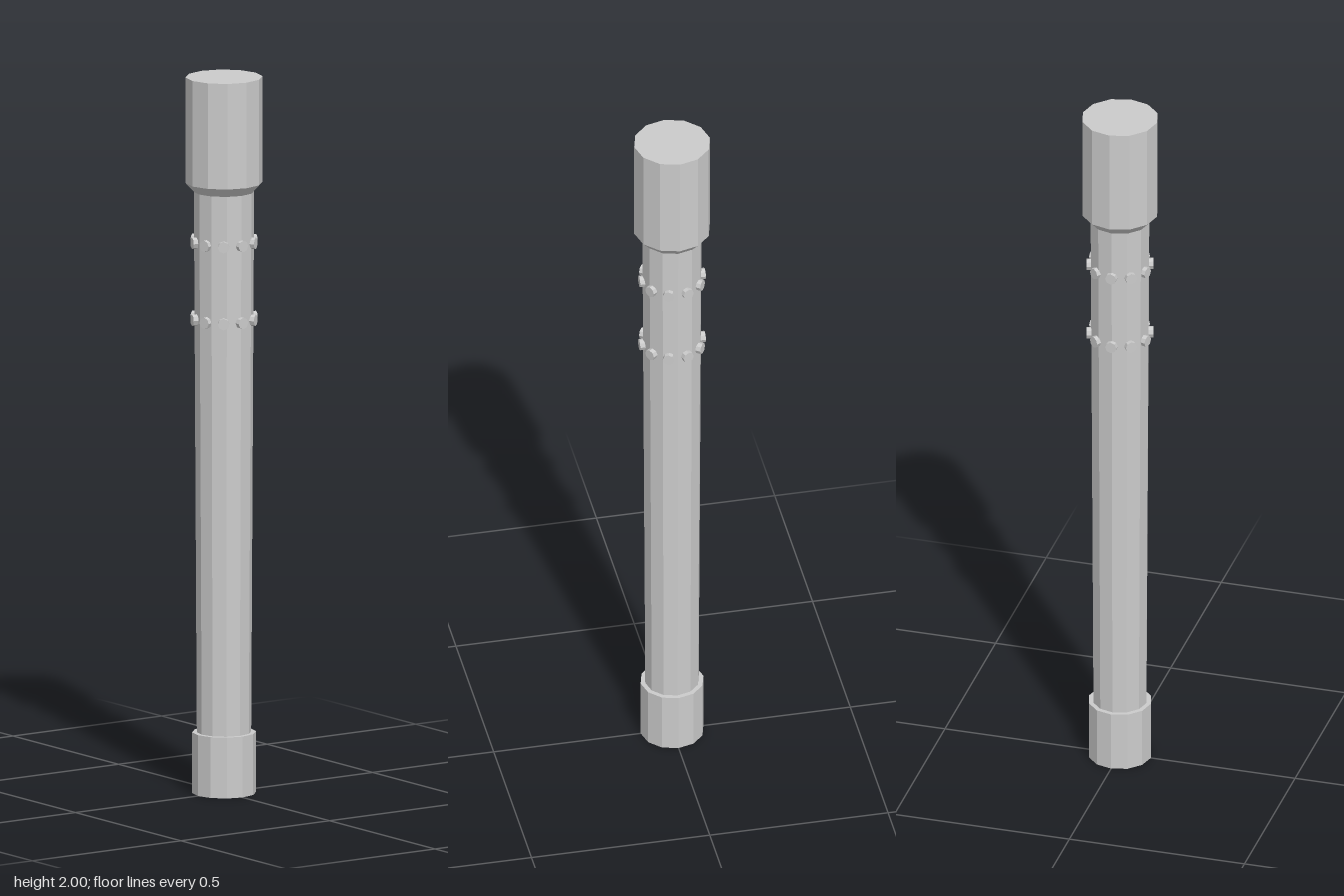
import * as THREE from 'three';

const SIDES = 12;
const material = new THREE.MeshStandardMaterial({ color: 0xcccccc, flatShading: true });

// Upright twelve-sided section between two heights
function section(name, y0, y1, r0, r1, open = false) {
  const mesh = new THREE.Mesh(new THREE.CylinderGeometry(r1, r0, y1 - y0, SIDES, 1, open), material);
  mesh.position.y = (y0 + y1) / 2;
  mesh.name = name;
  return mesh;
}

// Ring of small round studs pointing outwards
function studRing(name, y, count = 10) {
  const ring = new THREE.Group();
  ring.name = name;
  const inner = 0.072, outer = 0.092;
  const geometry = new THREE.CylinderGeometry(0.016, 0.016, outer - inner, 8);
  geometry.rotateZ(-Math.PI / 2);
  geometry.translate((inner + outer) / 2, 0, 0);
  for (let i = 0; i < count; i++) {
    const stud = new THREE.Mesh(geometry, material);
    stud.rotation.y = (i / count) * Math.PI * 2;
    stud.name = 'stud';
    ring.add(stud);
  }
  ring.position.y = y;
  return ring;
}

export function createModel() {
  const model = new THREE.Group();
  model.name = 'studdedBaton';

  // Foot collar and gently widening shaft
  model.add(section('footCollar', 0, 0.17, 0.088, 0.088));
  model.add(section('shaft', 0.17, 1.68, 0.075, 0.083, true));

  // Flared neck and wide head
  model.add(section('neckFlare', 1.68, 1.705, 0.083, 0.106, true));
  const head = section('head', 1.705, 2, 0.106, 0.106);
  model.add(head);

  // Two rows of studs
  model.add(studRing('lowerStuds', 1.325));
  model.add(studRing('upperStuds', 1.54));
  return model;
}
